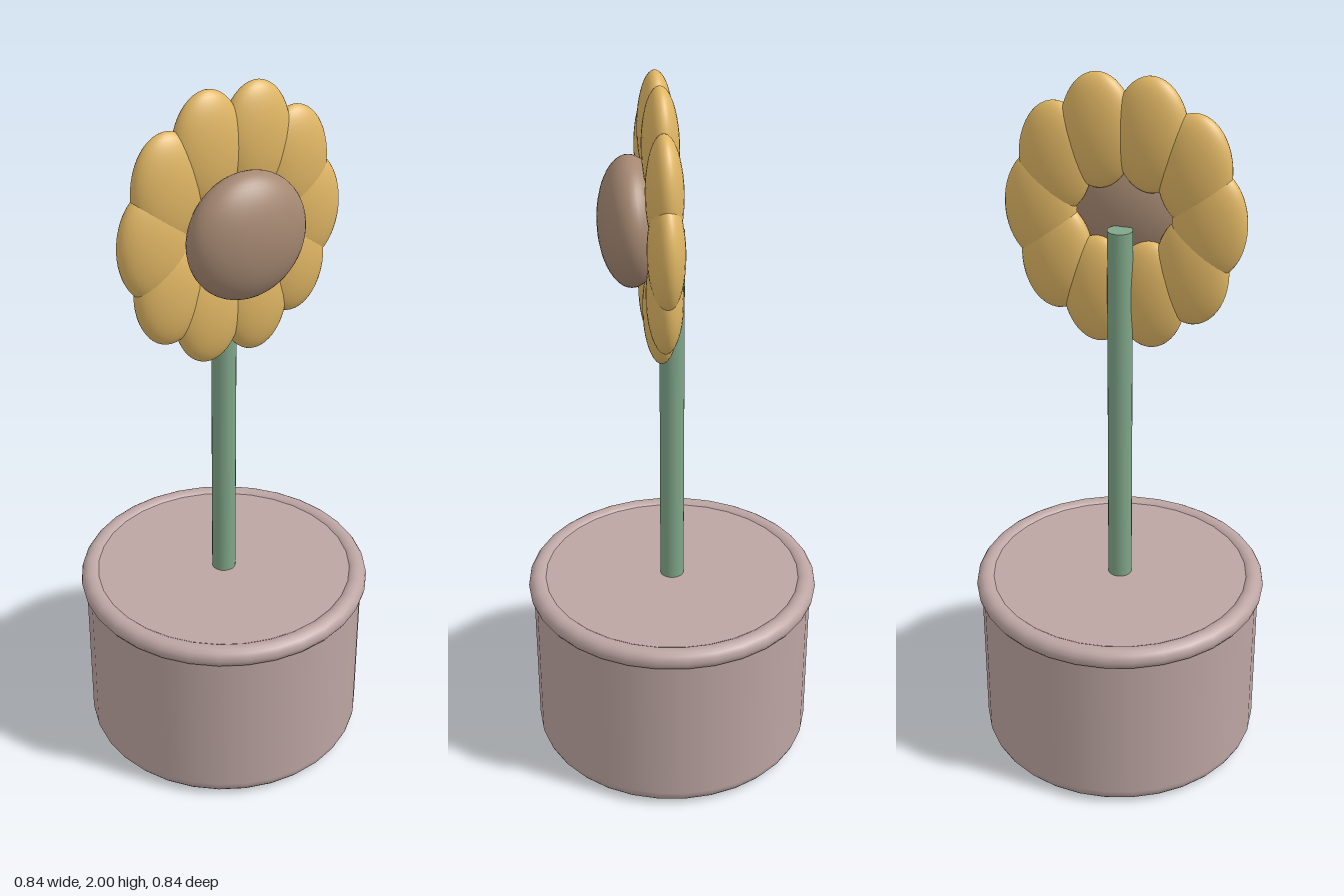
import * as THREE from 'three';

export function createModel() {
  const group = new THREE.Group();
  const material = (name, color) => {
    const m = new THREE.MeshStandardMaterial({ color });
    m.name = name;
    return m;
  };
  const clay = material('dusty clay', 0xbca5a2);
  const green = material('stem green', 0x7fa688);
  const gold = material('petal gold', 0xe0b664);
  const brown = material('seed brown', 0xa58872);

  const add = (name, geometry, mat, x, y, z) => {
    const mesh = new THREE.Mesh(geometry, mat);
    mesh.name = name;
    mesh.position.set(x, y, z);
    group.add(mesh);
    return mesh;
  };

  // Pot: flat base and top, straight wall, rounded lower and upper edges
  const profile = [new THREE.Vector2(0, 0), new THREE.Vector2(0.355, 0)];
  const edge = 0.045, steps = 6;
  for (let i = 0; i <= steps; i++) {
    const a = -Math.PI / 2 + (i / steps) * Math.PI / 2;
    profile.push(new THREE.Vector2(0.36 + 0.045 * Math.cos(a), edge + edge * Math.sin(a)));
  }
  profile.push(new THREE.Vector2(0.405, 0.51));
  const wall = new THREE.LatheGeometry(profile, 32);
  add('potBody', wall, clay, 0, 0, 0);

  // Flat soil surface closing the pot inside the rim
  const soil = new THREE.CircleGeometry(0.385, 32).rotateX(-Math.PI / 2);
  add('potTop', soil, clay, 0, 0.537, 0);

  // Rounded rim
  const rim = new THREE.TorusGeometry(0.389, 0.03, 16, 32).rotateX(Math.PI / 2);
  add('potRim', rim, clay, 0, 0.515, 0);

  // Stem
  add('stem', new THREE.CylinderGeometry(0.034, 0.034, 1.08, 24), green, 0, 1.06, 0);

  // Ten upright ellipsoid petals set around a ring
  const petalShape = new THREE.SphereGeometry(1, 32, 24).scale(0.1, 0.152, 0.048);
  for (let i = 0; i < 10; i++) {
    const a = (i / 10) * Math.PI * 2;
    add('petal', petalShape, gold, 0.23 * Math.cos(a), 1.63 + 0.23 * Math.sin(a), 0.036);
  }

  // Domed seed head in front of the petals
  const head = new THREE.SphereGeometry(1, 40, 28).scale(0.171, 0.171, 0.086);
  add('seedHead', head, brown, 0, 1.63, 0.109);

  return group;
}
